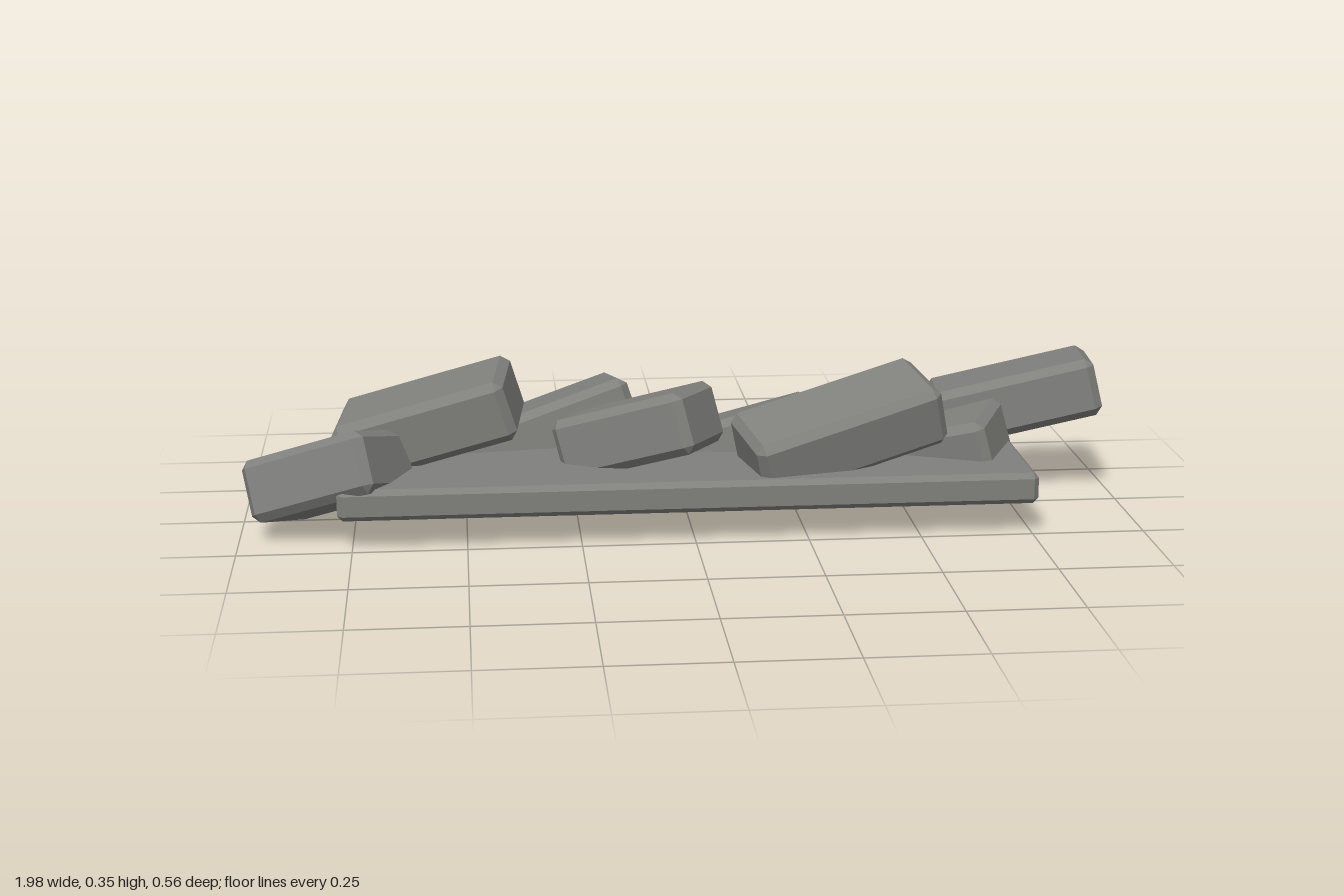
import * as THREE from 'three';
import { ConvexGeometry } from 'three/addons/geometries/ConvexGeometry.js';

// Box with chamfered edges and corners, centred on the origin
function chamferBox(width, height, depth, c) {
  const [a, b, d] = [width / 2, height / 2, depth / 2];
  const points = [];
  for (const sx of [-1, 1]) for (const sy of [-1, 1]) for (const sz of [-1, 1]) {
    points.push(
      new THREE.Vector3(sx * a, sy * (b - c), sz * (d - c)),
      new THREE.Vector3(sx * (a - c), sy * b, sz * (d - c)),
      new THREE.Vector3(sx * (a - c), sy * (b - c), sz * d)
    );
  }
  return new ConvexGeometry(points);
}

// Stone placed by its top face: back-left corner, length edge, width edge
function makeStone(corner, length, width, thickness, material) {
  const p = new THREE.Vector3(...corner);
  const l = new THREE.Vector3(...length);
  const w = new THREE.Vector3(...width);
  const xAxis = l.clone().normalize();
  const zAxis = w.clone().addScaledVector(xAxis, -w.dot(xAxis)).normalize();
  const yAxis = new THREE.Vector3().crossVectors(zAxis, xAxis);

  const mesh = new THREE.Mesh(chamferBox(l.length(), thickness, w.length(), 0.018), material);
  mesh.quaternion.setFromRotationMatrix(new THREE.Matrix4().makeBasis(xAxis, yAxis, zAxis));
  mesh.position.copy(p).addScaledVector(l, 0.5).addScaledVector(w, 0.5)
    .addScaledVector(yAxis, -thickness / 2);
  return mesh;
}

export function createModel() {
  const group = new THREE.Group();
  group.name = 'stoneRubble';
  const stoneGrey = new THREE.MeshStandardMaterial({ color: 0x80807d });
  stoneGrey.name = 'stone grey';

  // Flat slab that carries the stones
  const slab = new THREE.Mesh(chamferBox(1.54, 0.07, 0.545, 0.012), stoneGrey);
  slab.name = 'baseSlab';
  slab.position.set(-0.01, 0.115, -0.0125);
  group.add(slab);

  // Tilted stones: [name, corner, length edge, width edge, thickness]
  const stones = [
    ['outerRightStone', [-0.9, 0.13, -0.07], [0.27, 0.1, 0.11], [-0.1, 0.055, 0.2], 0.14],
    ['upperRightStone', [-0.78, 0.25, -0.16], [0.38, 0.115, 0.05], [-0.02, -0.015, 0.23], 0.14],
    ['sunkenRightStone', [-0.575, 0.145, -0.21], [0.42, 0.13, -0.075], [0.025, 0.03, 0.19], 0.14],
    ['sunkenMiddleStone', [-0.08, 0.135, -0.215], [0.38, 0.11, 0.04], [-0.035, 0.03, 0.2], 0.14],
    ['upperMiddleStone', [-0.23, 0.22, -0.13], [0.28, 0.1, 0.14], [-0.08, 0.02, 0.19], 0.14],
    ['upperLeftStone', [0.09, 0.255, 0.06], [0.42, 0.11, -0.08], [0.04, -0.04, 0.2], 0.14],
    ['sunkenLeftStone', [0.45, 0.168, -0.18], [0.29, 0.085, 0.13], [-0.1, -0.015, 0.2], 0.135],
    ['outerLeftStone', [0.595, 0.238, -0.275], [0.37, 0.09, 0.04], [-0.025, 0.012, 0.215], 0.135],
  ];
  for (const [name, corner, length, width, thickness] of stones) {
    const stone = makeStone(corner, length, width, thickness, stoneGrey);
    stone.name = name;
    group.add(stone);
  }
  return group;
}
